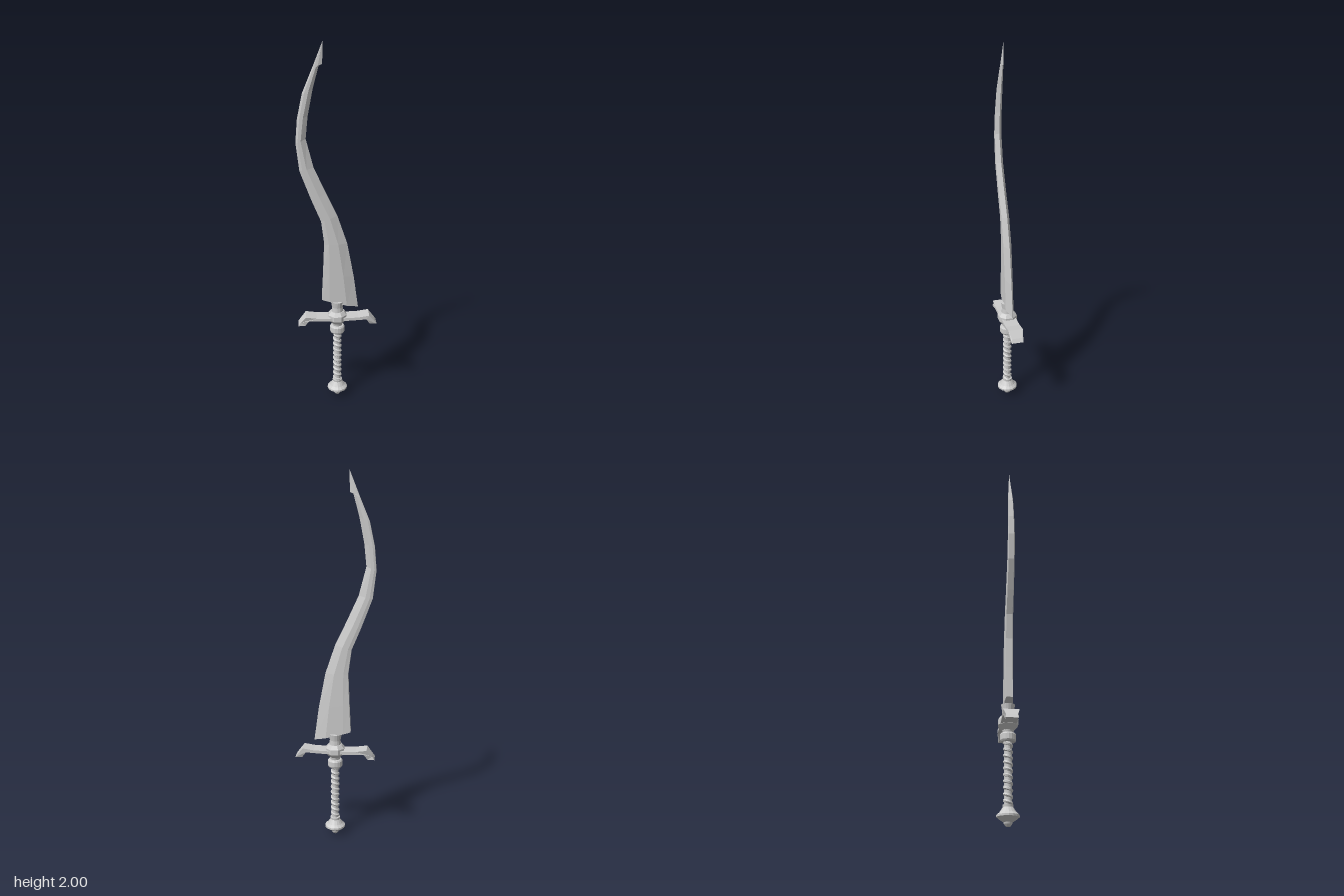
import * as THREE from 'three';

const steel = new THREE.MeshStandardMaterial({ color: 0xcccccc, flatShading: true, side: THREE.DoubleSide });

function add(group, name, geometry) {
  const mesh = new THREE.Mesh(geometry, steel);
  mesh.name = name;
  group.add(mesh);
  return mesh;
}

const lathe = (profile, sides) =>
  new THREE.LatheGeometry(profile.map(([r, y]) => new THREE.Vector2(r, y)), sides);

// Curved blade lofted from sections: spine x, y, edge x, y, half thickness, ridge position
function bladeGeometry() {
  const sections = [
    [-0.085, 0.62, 0.115, 0.565, 0.022, 0.68],
    [-0.077, 0.78, 0.09, 0.75, 0.022, 0.65],
    [-0.07, 0.947, 0.053, 0.947, 0.022, 0.6],
    [-0.087, 1.08, 0.0, 1.106, 0.021, 0.55],
    [-0.137, 1.2, -0.058, 1.228, 0.02, 0.52],
    [-0.195, 1.355, -0.122, 1.37, 0.019, 0.5],
    [-0.212, 1.5, -0.16, 1.52, 0.018, 0.5],
    [-0.202, 1.62, -0.148, 1.635, 0.016, 0.55],
    [-0.175, 1.746, -0.122, 1.767, 0.013, 0.6],
    [-0.127, 1.86, -0.09, 1.884, 0.008, 0.6],
    [-0.122, 1.872, -0.074, 1.888, 0.007, 0.55],
    [-0.071, 1.998, -0.07, 2.0, 0.0005, 0.5],
  ];
  const positions = [], index = [], n = 7;
  for (const [sx, sy, ex, ey, t, ridge] of sections) {
    const ring = [[0, 0.75], [0.2, 1], [ridge, 1], [1, 0], [ridge, -1], [0.2, -1], [0, -0.75]];
    for (const [u, z] of ring) positions.push(sx + (ex - sx) * u, sy + (ey - sy) * u, z * t);
  }
  for (let s = 0; s < sections.length - 1; s++) {
    for (let i = 0; i < n; i++) {
      const a = s * n + i, b = s * n + (i + 1) % n;
      index.push(a, b, b + n, a, b + n, a + n);
    }
  }
  // Base and tip caps
  const last = (sections.length - 1) * n;
  for (let i = 1; i < n - 1; i++) {
    index.push(0, i + 1, i, last, last + i, last + i + 1);
  }
  const g = new THREE.BufferGeometry();
  g.setAttribute('position', new THREE.Float32BufferAttribute(positions, 3));
  g.setIndex(index);
  g.computeVertexNormals();
  return g;
}

// Crossguard: mirrored profile, narrowed towards the drooping ends
function guardGeometry() {
  const half = [[0, 0.515], [0.05, 0.515], [0.115, 0.517], [0.175, 0.526], [0.205, 0.49],
    [0.218, 0.47], [0.18, 0.47], [0.158, 0.503], [0.05, 0.498], [0, 0.498]];
  const mirrored = half.slice(1, -1).reverse().map(([x, y]) => [-x, y]);
  const shape = new THREE.Shape([...half, ...mirrored].map(([x, y]) => new THREE.Vector2(x, y)));
  const g = new THREE.ExtrudeGeometry(shape, { depth: 0.08, bevelEnabled: false });
  g.translate(0, 0, -0.04);
  const p = g.attributes.position;
  for (let i = 0; i < p.count; i++) {
    const x = Math.abs(p.getX(i));
    if (x > 0.177) p.setZ(i, p.getZ(i) * (x > 0.21 ? 0.8 : 0.72));
  }
  g.computeVertexNormals();
  return g;
}

// Cord wound around the grip
class Helix extends THREE.Curve {
  getPoint(t, target = new THREE.Vector3()) {
    const a = t * 10 * Math.PI * 2;
    return target.set(Math.cos(a) * 0.016, 0.1 + t * 0.315, Math.sin(a) * 0.016);
  }
}

export function createModel() {
  const sword = new THREE.Group();
  sword.name = 'curvedSword';

  add(sword, 'blade', bladeGeometry());
  add(sword, 'crossguard', guardGeometry());

  // Faceted boss in the middle of the guard
  const boss = add(sword, 'guardBoss', lathe(
    [[0, 0.47], [0.03, 0.47], [0.054, 0.496], [0.054, 0.525], [0.038, 0.545], [0, 0.545]], 8));
  boss.rotation.y = Math.PI / 8;

  // Socket holding the blade
  add(sword, 'bladeSocket', lathe(
    [[0, 0.54], [0.032, 0.54], [0.03, 0.57], [0.036, 0.605], [0, 0.608]], 16));

  // Neck and collar under the guard
  add(sword, 'collar', lathe(
    [[0, 0.412], [0.036, 0.412], [0.041, 0.42], [0.041, 0.448], [0.036, 0.456],
      [0.027, 0.458], [0.03, 0.475], [0, 0.475]], 16));

  // Grip core with its spiral wrap
  add(sword, 'gripCore', new THREE.CylinderGeometry(0.019, 0.019, 0.33, 12).translate(0, 0.26, 0));
  add(sword, 'gripWrap', new THREE.TubeGeometry(new Helix(), 160, 0.0095, 6));

  // Pommel
  add(sword, 'pommel', lathe(
    [[0, 0], [0.012, 0.003], [0.02, 0.014], [0.022, 0.022], [0.035, 0.03], [0.056, 0.046],
      [0.056, 0.056], [0.042, 0.068], [0.026, 0.092], [0.027, 0.104], [0, 0.108]], 16));

  return sword;
}
